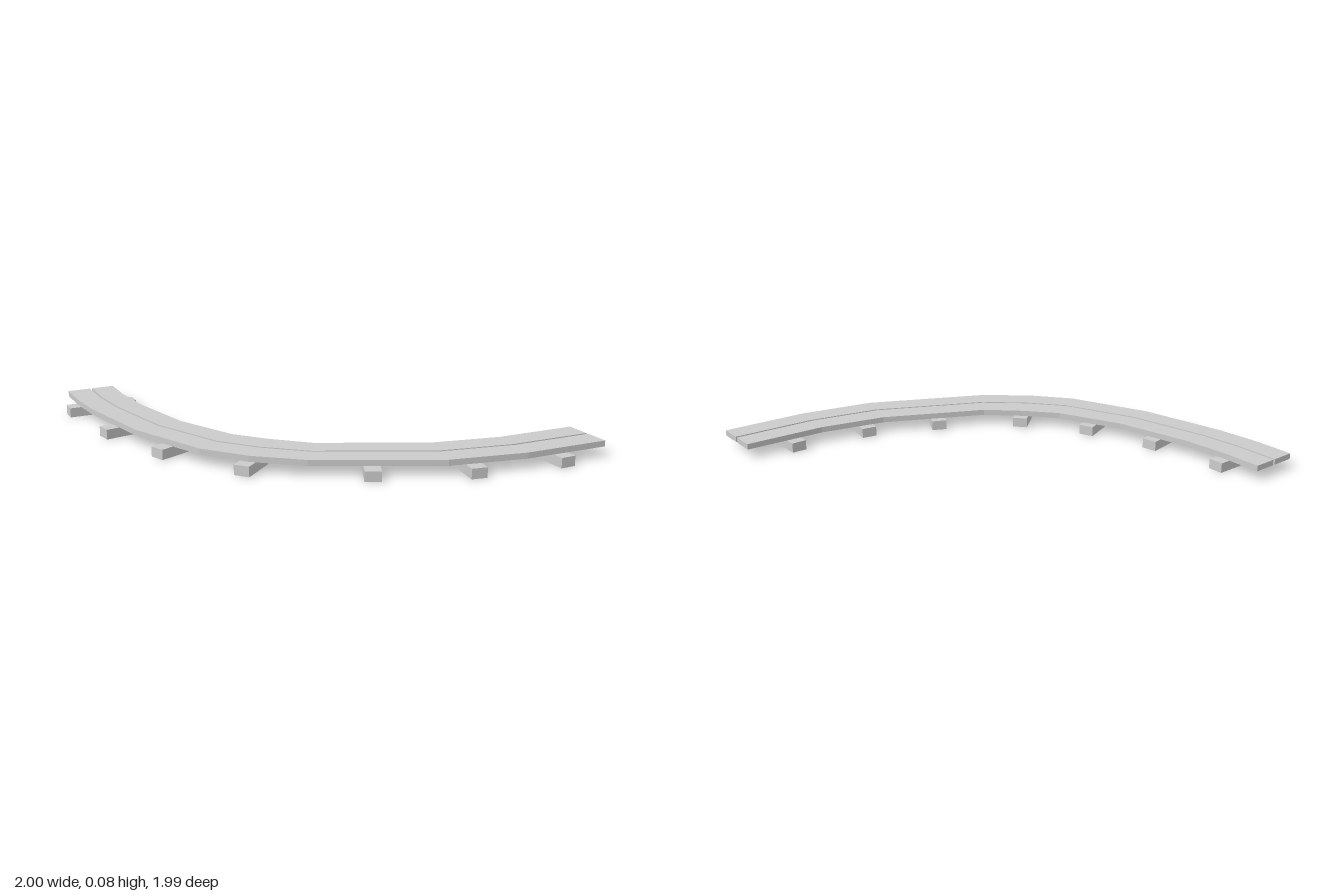
import * as THREE from 'three';

// Stations along the curve: outer edge x, z and inner edge x, z
const STATIONS = [
  [-0.945, -1, -0.705, -1],
  [-0.945, -0.80, -0.705, -0.80],
  [-0.925, -0.59, -0.685, -0.585],
  [-0.84, -0.17, -0.605, -0.215],
  [-0.675, 0.225, -0.465, 0.095],
  [-0.52, 0.415, -0.34, 0.24],
  [-0.32, 0.58, -0.19, 0.38],
  [0.22, 0.85, 0.285, 0.615],
  [0.583, 0.925, 0.605, 0.685],
  [1, 0.945, 1, 0.705],
];

// Crossbeams: centre x, z and turn in degrees
const BEAMS = [
  [-0.825, -0.80, 0],
  [-0.774, -0.386, 10.4],
  [-0.655, -0.012, 22.4],
  [-0.437, 0.334, 40],
  [-0.028, 0.608, 64.4],
  [0.354, 0.762, 79.8],
  [0.758, 0.814, 90],
];

const BEAM_HEIGHT = 0.048;
const DECK_HEIGHT = 0.028;

export function createModel() {
  const track = new THREE.Group();
  track.name = 'curvedTrack';
  const material = new THREE.MeshStandardMaterial({ color: 0xcccccc, flatShading: true });

  // A plank fills the strip between two fractions of the track width
  const addPlank = (name, from, to) => {
    const edge = (t) => STATIONS.map(([ox, oz, ix, iz]) =>
      new THREE.Vector2(THREE.MathUtils.lerp(ox, ix, t), -THREE.MathUtils.lerp(oz, iz, t)));
    const shape = new THREE.Shape([...edge(from), ...edge(to).reverse()]);
    const geometry = new THREE.ExtrudeGeometry(shape, { depth: DECK_HEIGHT, bevelEnabled: false });
    geometry.rotateX(-Math.PI / 2);
    const plank = new THREE.Mesh(geometry, material);
    plank.name = name;
    plank.position.set(0, BEAM_HEIGHT, 0.007);
    track.add(plank);
  };
  addPlank('outerPlank', 0, 0.475);
  addPlank('innerPlank', 0.525, 1);

  // Crossbeams under the planks
  const beamGeometry = new THREE.BoxGeometry(0.346, BEAM_HEIGHT, 0.074);
  BEAMS.forEach(([x, z, degrees], i) => {
    const beam = new THREE.Mesh(beamGeometry, material);
    beam.name = `crossbeam${i + 1}`;
    beam.position.set(x, BEAM_HEIGHT / 2, z + 0.007);
    beam.rotation.y = THREE.MathUtils.degToRad(degrees);
    track.add(beam);
  });

  return track;
}
